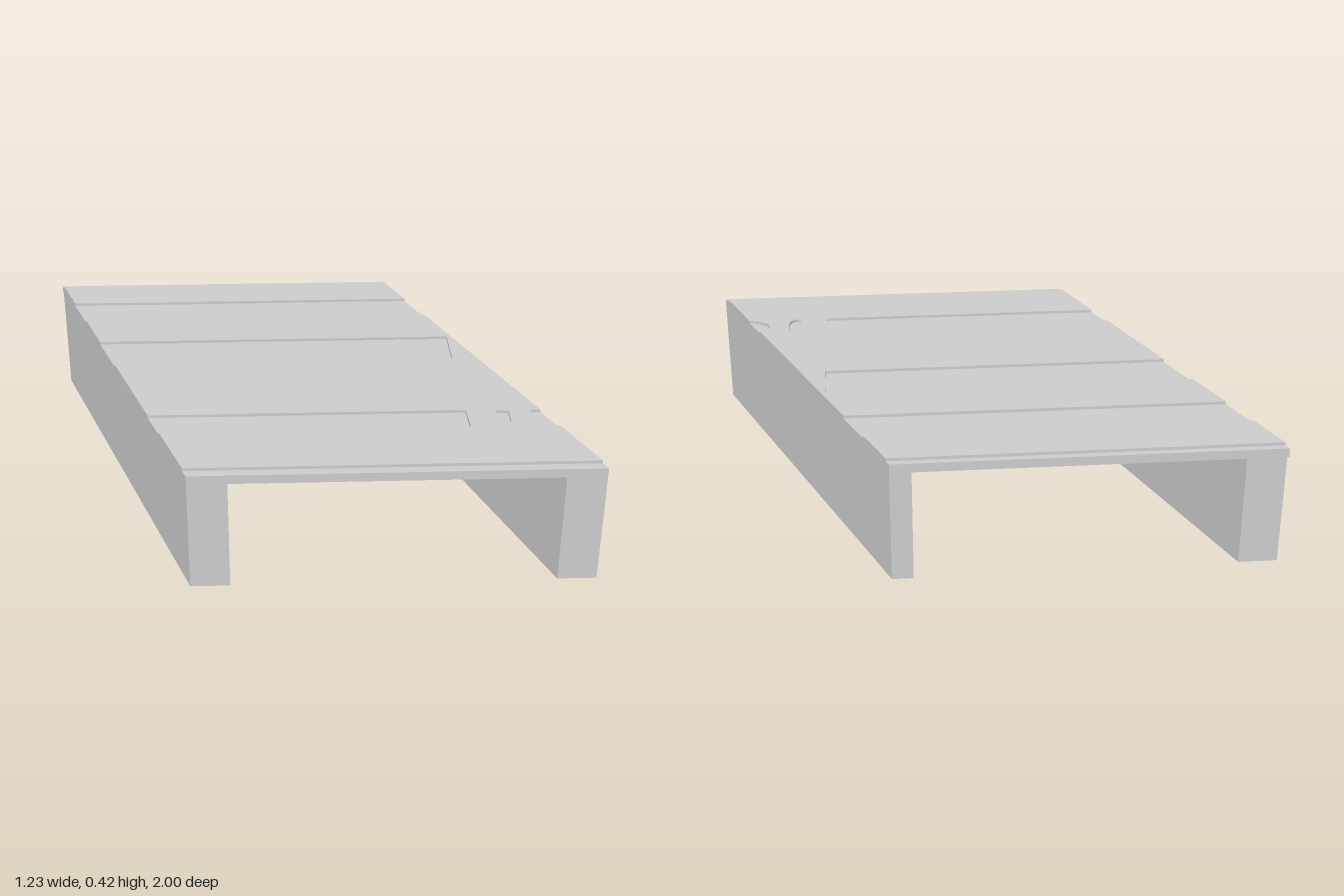
import * as THREE from 'three';

const SLOPE = 0.362;   // skew of the deck
const LEFT = -0.615;   // x of the straight long edge
const WALL = 0.495;    // x of the inner wall faces
const material = new THREE.MeshStandardMaterial({ color: 0xcccccc, flatShading: true });

// Point on the skewed line that meets the straight edge at z0
const at = (z0, x) => [x, z0 + SLOPE * (x - LEFT)];
const start = (z0) => at(z0, LEFT);
// Same line where it meets the slightly slanted opposite edge
const edgeX = (z) => 0.56 + 0.035 * (z + 0.573);
function end(z0) {
  let x = 0.6;
  for (let i = 0; i < 8; i++) x = edgeX(at(z0, x)[1]);
  return at(z0, x);
}

// Horizontal plate from a plan outline of [x, z] points
function plate(name, outline, y0, y1, holes = []) {
  const toV = (pts) => pts.map(([x, z]) => new THREE.Vector2(x, -z));
  const shape = new THREE.Shape(toV(outline));
  holes.forEach((h) => shape.holes.push(new THREE.Path(toV(h))));
  const geo = new THREE.ExtrudeGeometry(shape, { depth: y1 - y0, bevelEnabled: false });
  geo.rotateX(-Math.PI / 2).translate(0, y0, 0);
  const mesh = new THREE.Mesh(geo, material);
  mesh.name = name;
  return mesh;
}
const band = (a, b) => [start(a), start(b), end(b), end(a)];

// Smooth arc through a few plan points
const smooth = (pts) => new THREE.SplineCurve(pts.map((p) => new THREE.Vector2(...p)))
  .getPoints(10).map((p) => [p.x, p.y]);

export function createModel() {
  const group = new THREE.Group();
  const back = -1, front = 0.554;
  const deckBottom = 0.38, recess = 0.41, top = 0.42;

  // Deck slab, whose top is the floor of every recess
  group.add(plate('deckSlab', band(back, front), deckBottom, recess));

  // Side walls; the deck overhangs them slightly at the back
  group.add(plate('rightWall',
    [start(back + 0.01), start(front), at(front, -WALL), at(back + 0.01, -WALL)], 0, deckBottom));
  group.add(plate('leftWall',
    [at(back + 0.003, WALL), at(front, WALL), end(front), end(back + 0.003)], 0, deckBottom));

  // Raised surface behind the open channel
  group.add(plate('rearDeckSurface', band(-0.975, -0.8), recess, top));

  // Main raised surface with two closed-ended channels and a rounded edge notch
  const notch = smooth([[0.605, 0.717], [0.572, 0.69], [0.551, 0.645], [0.568, 0.59]]);
  notch[0][0] = edgeX(notch[0][1]);
  const outline = [
    start(-0.64),
    start(-0.44), at(-0.44, 0.565), at(-0.25, 0.503), start(-0.25),
    start(0.155), at(0.155, 0.37), at(0.275, 0.334), start(0.275),
    start(0.52), end(0.52),
    ...notch, [edgeX(0.602), 0.602],
    end(-0.64),
  ];
  // Small D-shaped pocket
  const pocket = [[0.46, 0.55], [0.5, 0.567],
    ...smooth([[0.476, 0.628], [0.462, 0.647], [0.44, 0.656], [0.424, 0.65]])];
  group.add(plate('mainDeckSurface', outline, recess, top, [pocket]));

  return group;
}
